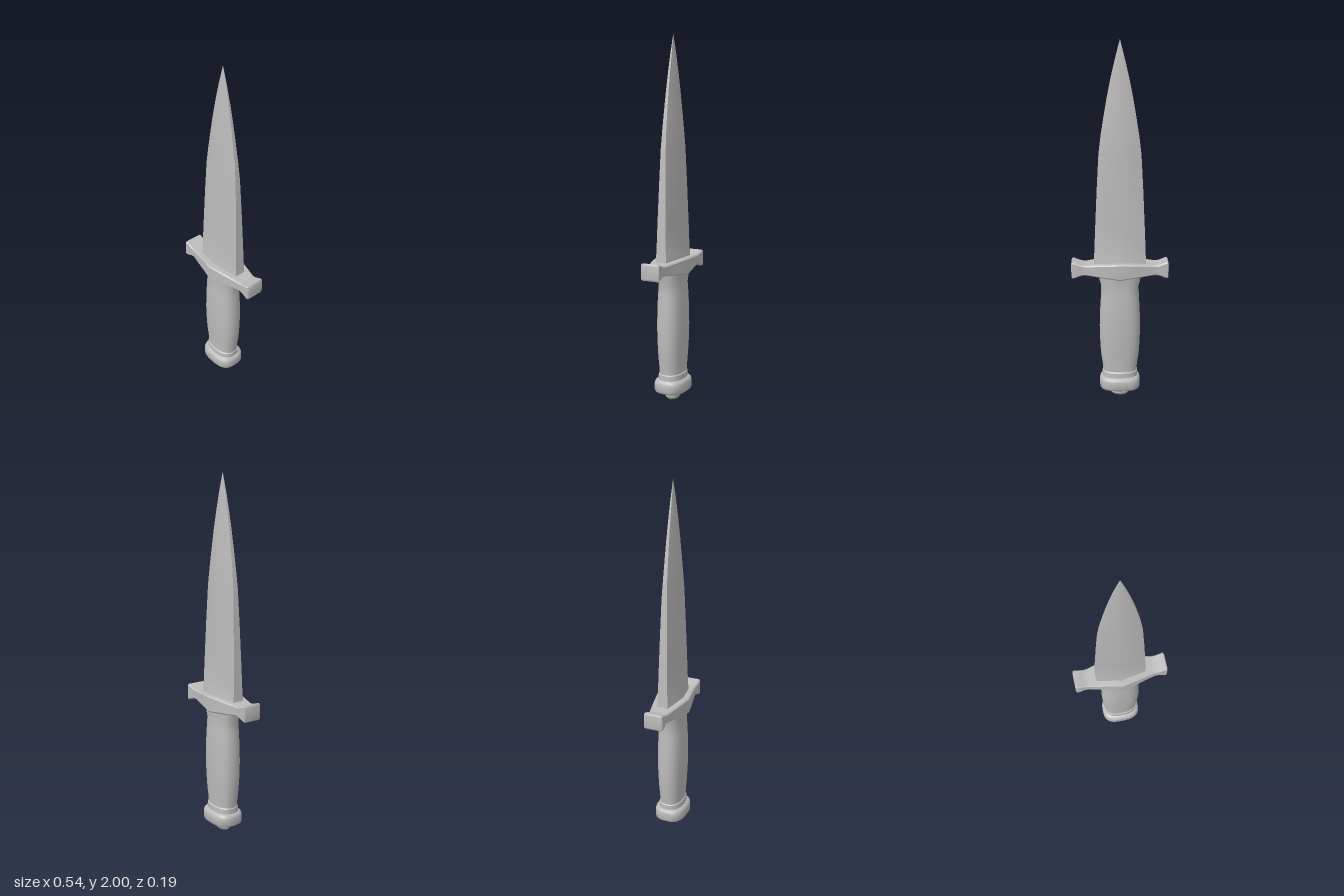
import * as THREE from 'three';
import { toCreasedNormals } from 'three/addons/utils/BufferGeometryUtils.js';

// Skin a stack of closed rings (arrays of [x, y, z]) and cap both ends
function loft(rings, crease) {
  const pos = [], n = rings[0].length;
  const tri = (...p) => p.forEach((v) => pos.push(...v));
  const centre = (r) => [0, 1, 2].map((k) => r.reduce((s, p) => s + p[k], 0) / n);
  const last = rings[rings.length - 1], c0 = centre(rings[0]), c1 = centre(last);
  for (let j = 0; j < n; j++) {
    const k = (j + 1) % n;
    for (let i = 0; i < rings.length - 1; i++) {
      const a = rings[i], b = rings[i + 1];
      tri(a[j], b[j], b[k]);
      tri(a[j], b[k], a[k]);
    }
    tri(c0, rings[0][j], rings[0][k]);
    tri(c1, last[k], last[j]);
  }
  const g = new THREE.BufferGeometry();
  g.setAttribute('position', new THREE.Float32BufferAttribute(pos, 3));
  return toCreasedNormals(g, crease);
}

// Rounded oval ring; power below 1 makes it boxier
function oval(y, hx, hz, power = 0.8, sides = 28) {
  const bend = (v) => Math.sign(v) * Math.abs(v) ** power;
  return Array.from({ length: sides }, (_, i) => {
    const a = (i / sides) * Math.PI * 2;
    return [hx * bend(Math.cos(a)), y, hz * bend(Math.sin(a))];
  });
}

// Rectangle ring with small chamfered corners
function chamfered(y, hx, hz, c = 0.007) {
  return [
    [hx, hz - c], [hx - c, hz], [c - hx, hz], [-hx, hz - c],
    [-hx, c - hz], [c - hx, -hz], [hx - c, -hz], [hx, c - hz],
  ].map(([x, z]) => [x, y, z]);
}

export function createModel() {
  const model = new THREE.Group();
  const steel = new THREE.MeshStandardMaterial({ name: 'grey steel', color: 0xbcbcbc });
  const add = (name, geometry) => {
    const mesh = new THREE.Mesh(geometry, steel);
    mesh.name = name;
    model.add(mesh);
    return mesh;
  };

  // Blade: [height, half width, edge half thickness, front ridge, back ridge]
  const blade = [
    [0.78, 0.144, 0.032, 0.068, 0.07],
    [0.81, 0.142, 0.031, 0.062, 0.064],
    [0.86, 0.141, 0.028, 0.05, 0.05],
    [1.0, 0.135, 0.025, 0.047, 0.048],
    [1.2, 0.126, 0.02, 0.043, 0.046],
    [1.4, 0.115, 0.015, 0.039, 0.043],
    [1.5, 0.103, 0.012, 0.036, 0.042],
    [1.6, 0.087, 0.01, 0.032, 0.033],
    [1.7, 0.07, 0.008, 0.026, 0.025],
    [1.8, 0.05, 0.006, 0.019, 0.017],
    [1.9, 0.027, 0.004, 0.011, 0.009],
    [2.0, 0.001, 0.0005, 0.001, 0.001],
  ].map(([y, w, e, f, b]) => [
    [w, y, e], [0, y, f], [-w, y, e], [-w, y, -e], [0, y, -b], [w, y, -e],
  ]);
  add('blade', loft(blade, 0.75));

  // Crossguard: [distance along x, half height, half depth]
  const half = [
    [0, 0.046, 0.097], [0.1, 0.037, 0.075], [0.19, 0.028, 0.054],
    [0.215, 0.031, 0.053], [0.255, 0.046, 0.055], [0.263, 0.046, 0.054], [0.268, 0.038, 0.045],
  ];
  const mirrored = half.slice(1).reverse().map(([x, h, d]) => [-x, h, d]);
  const guard = add('crossguard', loft(
    [...mirrored, ...half].map(([x, h, d]) => chamfered(x, h, d)), 0.5));
  guard.geometry.rotateZ(-Math.PI / 2);
  guard.position.y = 0.76;

  // Grip, swelling in the middle
  add('grip', loft([
    [0.14, 0.094, 0.062], [0.18, 0.097, 0.063], [0.25, 0.107, 0.067], [0.33, 0.112, 0.071],
    [0.42, 0.114, 0.073], [0.52, 0.111, 0.072], [0.6, 0.106, 0.069], [0.66, 0.104, 0.064],
    [0.69, 0.113, 0.066], [0.74, 0.116, 0.067],
  ].map((r) => oval(...r)), 0.6));

  // Collar above the pommel
  add('collar', loft([
    [0.105, 0.1, 0.07], [0.15, 0.099, 0.068], [0.157, 0.093, 0.062],
  ].map((r) => oval(...r)), 0.6));

  // Pommel with rounded rims
  add('pommel', loft([
    [0.045, 0.1, 0.075], [0.051, 0.11, 0.084], [0.06, 0.114, 0.088], [0.1, 0.114, 0.088],
    [0.112, 0.11, 0.084], [0.122, 0.1, 0.072],
  ].map((r) => oval(...r, 0.7)), 0.9));

  // Faceted end nut
  add('pommelNut', loft([
    [0, 0.04, 0.026], [0.014, 0.056, 0.038], [0.06, 0.06, 0.042],
  ].map((r) => oval(...r, 1, 8)), 0.4));

  return model;
}
